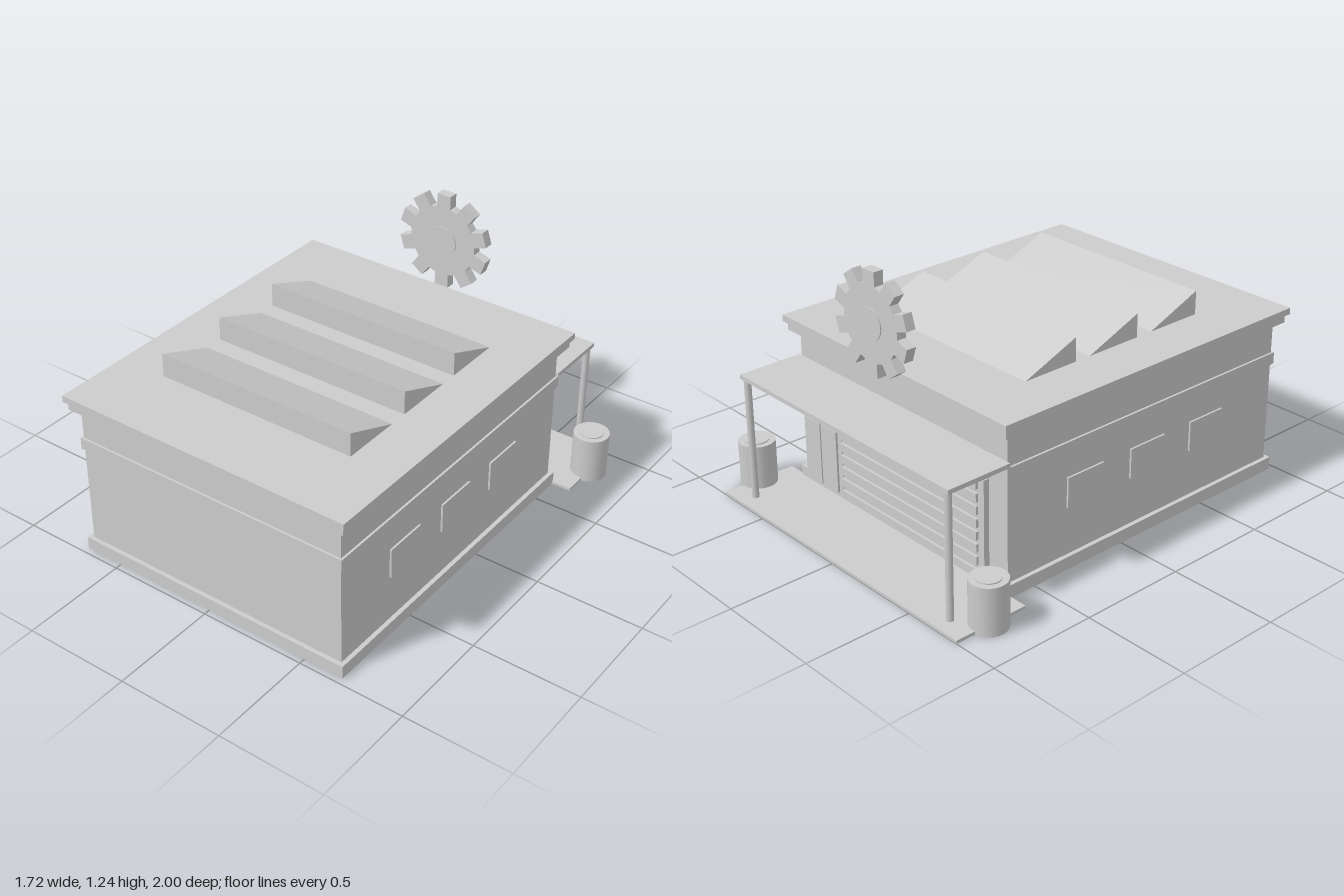
import * as THREE from 'three';

export function createModel() {
  const model = new THREE.Group();
  model.name = 'workshop';
  const grey = new THREE.MeshStandardMaterial({ color: 0xcccccc });
  grey.name = 'plain grey';

  const add = (name, geometry, parent = model) => {
    const mesh = new THREE.Mesh(geometry, grey);
    mesh.name = name;
    parent.add(mesh);
    return mesh;
  };
  // Box given by its extents on each axis
  const box = (name, x0, x1, y0, y1, z0, z1, parent) => {
    const mesh = add(name, new THREE.BoxGeometry(x1 - x0, y1 - y0, z1 - z0), parent);
    mesh.position.set((x0 + x1) / 2, (y0 + y1) / 2, (z0 + z1) / 2);
    return mesh;
  };

  // Main building, stacked from plinth to roof
  box('plinth', -0.69, 0.69, 0, 0.06, -0.65, 0.97);
  box('walls', -0.67, 0.67, 0.06, 0.73, -0.63, 0.95);
  box('wallBand', -0.68, 0.68, 0.53, 0.585, -0.64, 0.96);
  box('lowerCornice', -0.705, 0.705, 0.73, 0.77, -0.67, 0.985);
  box('roofSlab', -0.72, 0.72, 0.77, 0.8, -0.685, 1);

  // Sawtooth roof lights, upright face towards the front
  for (const z of [0.64, 0.275, -0.085]) {
    const tooth = new THREE.Shape([
      new THREE.Vector2(0, 0), new THREE.Vector2(0.28, 0), new THREE.Vector2(0, 0.11),
    ]);
    const geometry = new THREE.ExtrudeGeometry(tooth, { depth: 0.97, bevelEnabled: false });
    geometry.translate(0, 0, -0.485).rotateY(Math.PI / 2);
    add('roofLight', geometry).position.set(0, 0.8, z);
  }

  // Side windows
  for (const side of [-1, 1]) {
    for (const z of [0.525, 0.16, -0.205]) {
      const pane = add('window', new THREE.BoxGeometry(0.02, 0.14, 0.205));
      pane.position.set(side * 0.669, 0.35, z);
    }
  }

  // Rear double door
  const door = new THREE.Group();
  door.name = 'doubleDoor';
  model.add(door);
  box('doorFrame', 0.39, 0.64, 0.02, 0.49, -0.655, -0.62, door);
  box('doorLeaf', 0.4, 0.508, 0.04, 0.34, -0.665, -0.65, door);
  box('doorLeaf', 0.516, 0.625, 0.04, 0.34, -0.665, -0.65, door);

  // Rear roller shutter with slats and jambs
  const shutter = new THREE.Group();
  shutter.name = 'rollerShutter';
  model.add(shutter);
  box('shutterBacking', -0.53, 0.38, 0.02, 0.49, -0.652, -0.62, shutter);
  for (let i = 0; i < 8; i++) {
    const y = 0.03 + i * 0.058;
    box('slat', -0.52, 0.37, y, y + 0.038, -0.664, -0.64, shutter);
  }
  box('jamb', -0.56, -0.53, 0.02, 0.49, -0.657, -0.62, shutter);
  box('jamb', 0.37, 0.39, 0.02, 0.49, -0.657, -0.62, shutter);
  box('lintel', -0.57, 0.4, 0.502, 0.52, -0.675, -0.63, shutter);

  // Loading platform and canopy
  box('platform', -0.785, 0.785, 0, 0.014, -1, -0.64);
  box('canopy', -0.685, 0.685, 0.588, 0.608, -0.945, -0.63);

  // Canopy posts and barrels, mirrored
  for (const side of [-1, 1]) {
    const post = add('canopyPost', new THREE.CylinderGeometry(0.016, 0.016, 0.576, 12));
    post.position.set(side * 0.66, 0.3, -0.925);

    const barrel = new THREE.Group();
    barrel.name = 'barrel';
    barrel.position.set(side * 0.775, 0, -0.825);
    model.add(barrel);
    add('barrelBody', new THREE.CylinderGeometry(0.083, 0.083, 0.22, 24), barrel).position.y = 0.11;
    add('barrelLid', new THREE.CylinderGeometry(0.055, 0.055, 0.006, 24), barrel).position.y = 0.222;
  }

  // Gear sign behind the roof edge
  const gear = new THREE.Group();
  gear.name = 'gearSign';
  gear.position.set(0, 1.01, -0.735);
  model.add(gear);
  const outline = new THREE.Shape();
  const teeth = 10, half = 0.035, root = 0.17, tip = 0.23;
  const rootAngle = Math.asin(half / root);
  for (let i = 0; i < teeth; i++) {
    const a = Math.PI / 2 + (i / teeth) * Math.PI * 2;
    const point = (r, t) => [r * Math.cos(a) - t * Math.sin(a), r * Math.sin(a) + t * Math.cos(a)];
    const inner = root * Math.cos(rootAngle);
    const corners = [point(inner, -half), point(tip, -half), point(tip, half), point(inner, half)];
    corners.forEach(([x, y], k) => (i + k === 0 ? outline.moveTo(x, y) : outline.lineTo(x, y)));
  }
  outline.closePath();
  const wheel = new THREE.ExtrudeGeometry(outline, { depth: 0.046, bevelEnabled: false });
  add('gearWheel', wheel.translate(0, 0, -0.023), gear);
  add('gearHub', new THREE.CylinderGeometry(0.072, 0.072, 0.056, 24).rotateX(Math.PI / 2), gear);

  return model;
}
